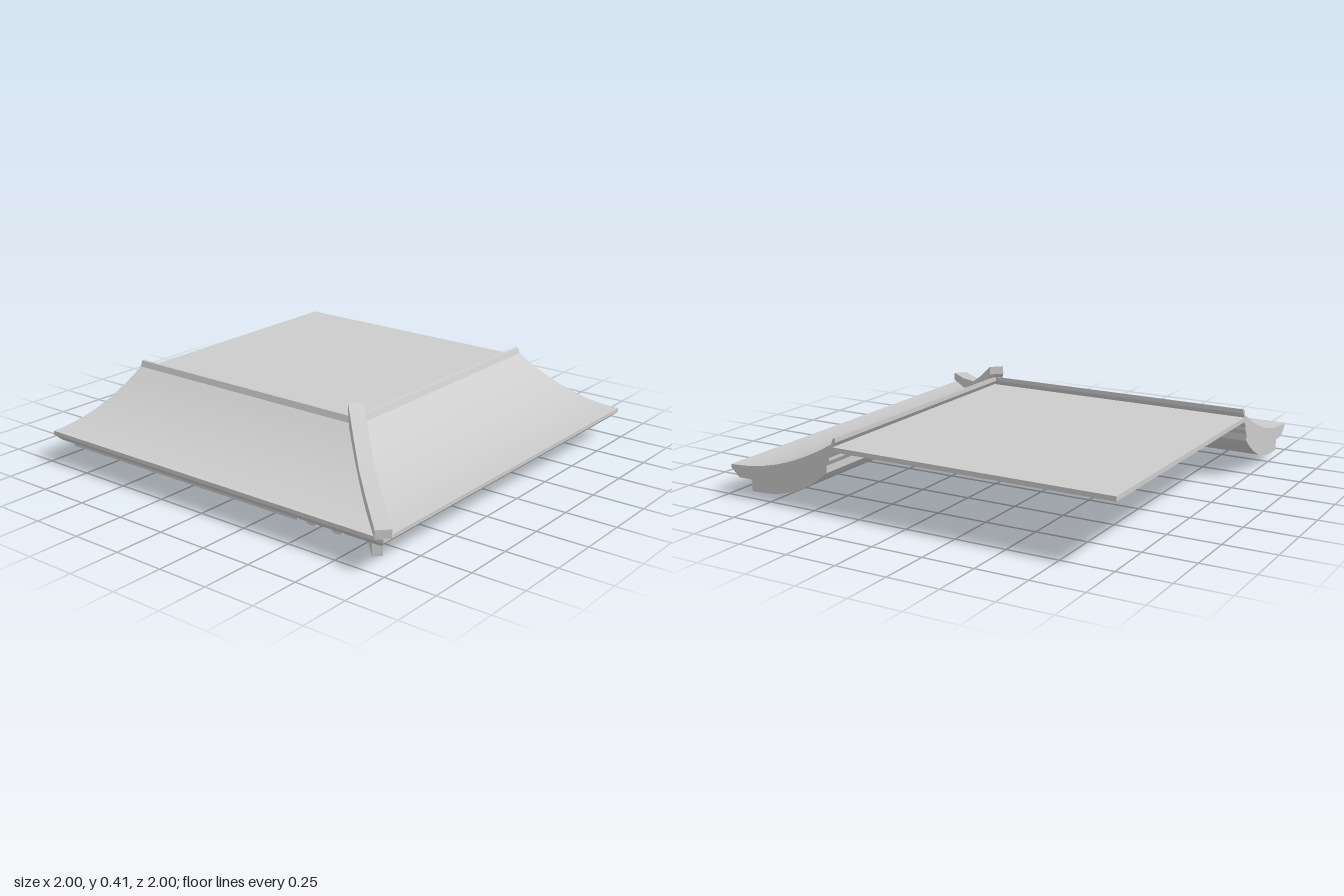
import * as THREE from 'three';
import { toCreasedNormals } from 'three/addons/utils/BufferGeometryUtils.js';

const material = new THREE.MeshStandardMaterial({ color: 0xcccccc });

// Profiles use d = distance outward from the roof centre, y = height
const topY = (d) => 0.148 + 0.177 * Math.pow((0.975 - d) / 0.585, 2);
const underY = (d) => 0.035 + 0.155 * Math.pow(Math.max(0, 0.855 - d) / 0.435, 2.5);
const boardY = (d) => underY(d) + 0.045 * Math.min(1, (d - 0.42) / 0.1);

// Sample a height function between two distances
function sample(fn, from, to, n = 14) {
  return Array.from({ length: n + 1 }, (_, i) => {
    const d = from + ((to - from) * i) / n;
    return [d, fn(d)];
  });
}

// Extrude a profile by one unit, then place every vertex by a rule
function sweep(name, profile, place) {
  const shape = new THREE.Shape(profile.map(([d, y]) => new THREE.Vector2(d, y)));
  let geo = new THREE.ExtrudeGeometry(shape, { depth: 1, bevelEnabled: false });
  const p = geo.attributes.position;
  for (let i = 0; i < p.count; i++) p.setXYZ(i, ...place(p.getX(i), p.getY(i), p.getZ(i)));
  geo = toCreasedNormals(geo, 0.45);
  const mesh = new THREE.Mesh(geo, material);
  mesh.name = name;
  return mesh;
}

// Same profile on the front eave and mirrored across the hip to the side eave
function bothEaves(group, name, profile, start, end) {
  group.add(sweep('front' + name, profile, (d, y, t) => [end(d) + t * (start(d) - end(d)), y, d]));
  group.add(sweep('side' + name, profile, (d, y, t) => [-d, y, -(start(d) + t * (end(d) - start(d)))]));
}

// Beam along the diagonal hip line
function hipBeam(name, profile, halfWidth) {
  return sweep(name, profile, (d, y, t) => {
    const w = (t * 2 - 1) * halfWidth;
    return [-d - w, y, d - w];
  });
}

export function createModel() {
  const group = new THREE.Group();
  group.name = 'roofCorner';

  // Flat deck set below the upper lip of the eaves
  const deck = new THREE.Mesh(new THREE.BoxGeometry(1.385, 0.022, 1.385), material);
  deck.position.set(0.3075, 0.301, -0.3075);
  deck.name = 'deck';
  group.add(deck);

  // Mitred eaves: swept top, bevelled edge, curved soffit, stepped cornice, raised lip
  const eave = [
    ...sample(topY, 0.39, 0.975),
    [0.975, 0.13], [0.93, 0.09], [0.86, 0.09],
    ...sample(boardY, 0.855, 0.42),
    [0.42, 0.222], [0.405, 0.245], [0.405, 0.26],
    [0.385, 0.288], [0.385, 0.312],
    [0.367, 0.335], [0.367, 0.356], [0.379, 0.354],
  ];
  bothEaves(group, 'Eave', eave, (d) => -d, () => 1);

  // Lower soffit layer and two short rafters beside the hip
  const strip = (from) => [
    ...sample(underY, from, 0.855),
    ...sample((d) => underY(d) + 0.055, 0.855, from),
  ];
  bothEaves(group, 'Soffit', strip(0.425), () => -0.425, () => 1);
  for (const [i, x] of [-0.505, -0.645].entries()) {
    bothEaves(group, 'Rafter' + (i + 1), strip(-x), () => x - 0.025, () => x + 0.025);
  }

  // Ridge on top of the hip
  const ridgeTop = [[0.975, 0.19], [0.8, 0.213], [0.63, 0.25], [0.5, 0.322], [0.355, 0.415]];
  const ridgeBottom = [[0.355, 0.375], [0.39, 0.31], [0.5, 0.25], [0.63, 0.195], [0.8, 0.16], [0.975, 0.15]];
  group.add(hipBeam('hipRidge', [...ridgeTop, ...ridgeBottom], 0.025));

  // Hip rafter beneath the corner
  const rafterBottom = [[0.425, 0.18], [0.5, 0.1], [0.57, 0.06], [0.65, 0.03], [0.75, 0.013], [0.864, 0]];
  const rafterTop = [[0.864, 0.076], [0.83, 0.1], [0.65, 0.13], [0.5, 0.2], [0.425, 0.21]];
  group.add(hipBeam('hipRafter', [...rafterBottom, ...rafterTop], 0.016));

  return group;
}
